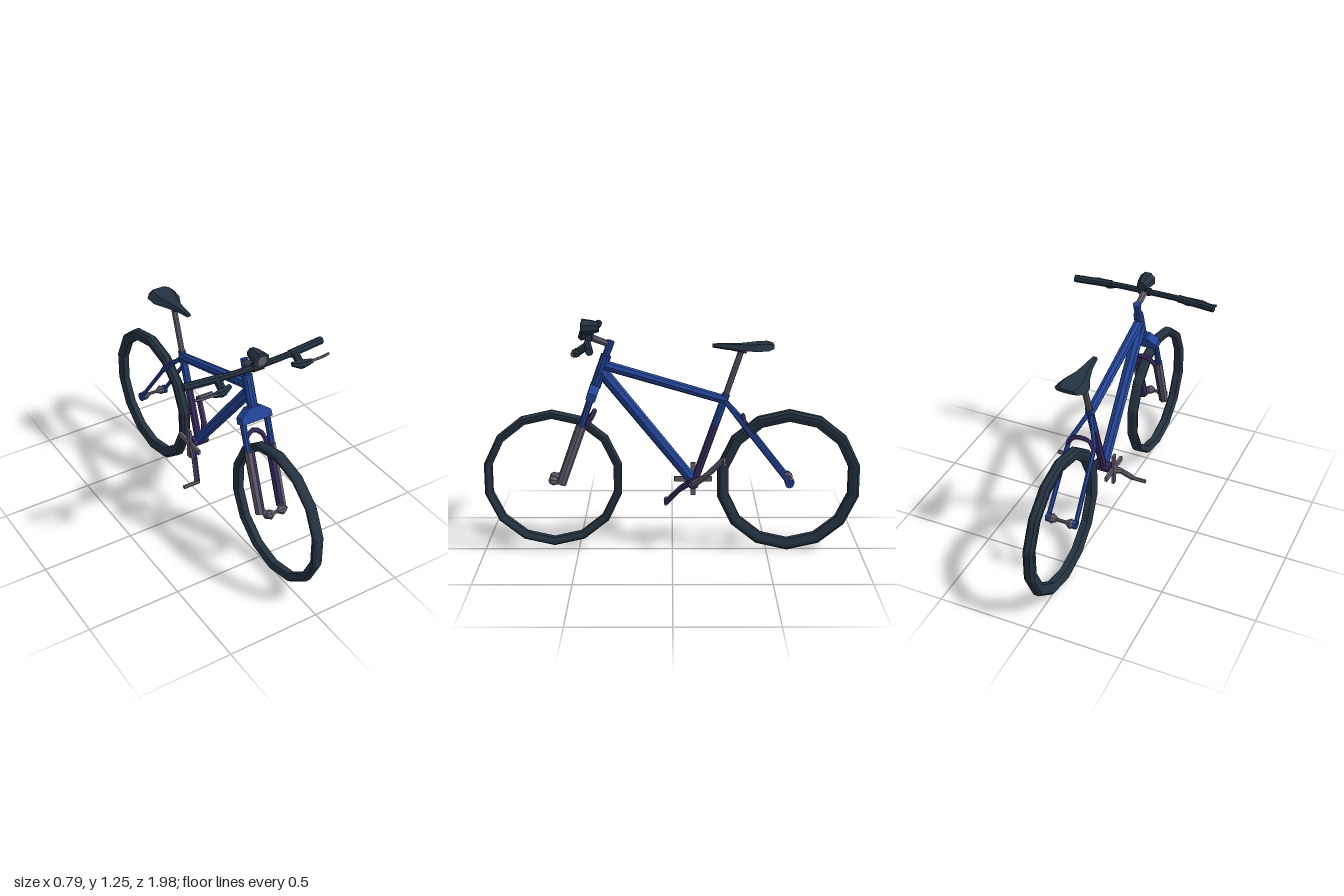
import * as THREE from 'three';

const blue = new THREE.MeshStandardMaterial({ color: 0x23459a, name: 'frameBlue' });
const dark = new THREE.MeshStandardMaterial({ color: 0x243240, name: 'darkRubber' });
const grey = new THREE.MeshStandardMaterial({ color: 0x645f70, name: 'metalGrey' });
const purple = new THREE.MeshStandardMaterial({ color: 0x3d2d63, name: 'shadedPurple' });

const V = (p) => new THREE.Vector3(...p);

// Faceted mesh added to a parent under a plain name
function add(parent, name, geometry, material) {
  const g = geometry.index ? geometry.toNonIndexed() : geometry;
  g.computeVertexNormals();
  const mesh = new THREE.Mesh(g, material);
  mesh.name = name;
  parent.add(mesh);
  return mesh;
}

// Straight tube between two points; start/length cut it lengthwise
function tube(parent, name, a, b, r0, r1, material, sides = 8, start = 0, length = Math.PI * 2) {
  const dir = V(b).sub(V(a));
  const g = new THREE.CylinderGeometry(r1, r0, dir.length(), sides, 1, false, start, length);
  const mesh = add(parent, name, g, material);
  mesh.position.copy(V(a)).addScaledVector(dir, 0.5);
  mesh.quaternion.setFromUnitVectors(new THREE.Vector3(0, 1, 0), dir.normalize());
  return mesh;
}

// Tube whose outward half is grey and inward half is purple
function twoTone(parent, name, a, b, r0, r1, s) {
  tube(parent, name + 'Outer', a, b, r0, r1, grey, 4, s > 0 ? 0 : Math.PI, Math.PI);
  tube(parent, name + 'Inner', a, b, r0, r1, purple, 4, s > 0 ? Math.PI : 0, Math.PI);
}

function curveTube(parent, name, points, r, material, segments = 8, sides = 6) {
  const curve = new THREE.CatmullRomCurve3(points.map(V));
  return add(parent, name, new THREE.TubeGeometry(curve, segments, r, sides), material);
}

// Lofted solid through equal-length loops, ordered back to front
function loft(loops) {
  const n = loops[0].length, index = [], last = (loops.length - 1) * n;
  for (let i = 0; i < loops.length - 1; i++) {
    for (let j = 0; j < n; j++) {
      const a = i * n + j, b = i * n + (j + 1) % n;
      index.push(a, b, a + n, b, b + n, a + n);
    }
  }
  for (let j = 1; j < n - 1; j++) {
    index.push(0, j + 1, j, last, last + j, last + j + 1);
  }
  const g = new THREE.BufferGeometry();
  g.setAttribute('position', new THREE.Float32BufferAttribute(loops.flat(2), 3));
  g.setIndex(index);
  return g;
}

// Tyre ring with bevelled tread, axle along x
function tyre(parent, name, y, z, outer, inner, w) {
  const mid = (outer + inner) / 2, b = (outer - inner) * 0.22;
  const profile = [
    [inner, -w * 0.6], [mid, -w], [outer - b, -w], [outer, -w * 0.5], [outer, w * 0.5],
    [outer - b, w], [mid, w], [inner, w * 0.6], [inner, -w * 0.6],
  ].map((p) => new THREE.Vector2(...p));
  const g = new THREE.LatheGeometry(profile, 14, Math.PI / 2);
  g.rotateZ(Math.PI / 2);
  add(parent, name, g, dark).position.set(0, y, z);
}

// Slim axle with a bulge at each end
function hub(parent, name, y, z, x, material) {
  tube(parent, name + 'Axle', [-x, y, z], [x, y, z], 0.009, 0.009, material);
  for (const s of [-1, 1]) {
    tube(parent, name + 'Cone', [s * (x - 0.045), y, z], [s * (x - 0.02), y, z], 0.012, 0.027, material);
    tube(parent, name + 'Cap', [s * (x - 0.02), y, z], [s * (x + 0.005), y, z], 0.027, 0.015, material);
  }
}

export function createModel() {
  const bike = new THREE.Group();
  bike.name = 'bicycle';

  // Wheels
  tyre(bike, 'frontTyre', 0.397, 0.629, 0.371, 0.328, 0.028);
  tyre(bike, 'rearTyre', 0.385, -0.612, 0.385, 0.324, 0.028);
  hub(bike, 'frontHub', 0.395, 0.625, 0.055, grey);
  hub(bike, 'rearHub', 0.39, -0.615, 0.07, grey);

  // Main frame
  const frame = new THREE.Group();
  frame.name = 'frame';
  bike.add(frame);
  tube(frame, 'headTube', [0, 0.89, 0.4], [0, 1.06, 0.34], 0.027, 0.027, blue, 10);
  tube(frame, 'steererTop', [0, 1.05, 0.344], [0, 1.105, 0.325], 0.019, 0.019, blue);
  tube(frame, 'topTube', [0, 1.008, 0.355], [0, 0.822, -0.275], 0.027, 0.024, blue);
  tube(frame, 'downTube', [0, 0.975, 0.365], [0, 0.385, -0.108], 0.033, 0.029, blue);
  tube(frame, 'seatTubeTop', [0, 0.855, -0.279], [0, 0.69, -0.222], 0.021, 0.021, blue);
  tube(frame, 'seatTubeBottom', [0, 0.69, -0.222], [0, 0.38, -0.115], 0.021, 0.021, purple);
  tube(frame, 'bottomBracket', [-0.045, 0.378, -0.11], [0.045, 0.378, -0.11], 0.03, 0.03, purple);
  for (const s of [-1, 1]) {
    tube(frame, 'seatStayTop', [s * 0.01, 0.815, -0.275], [s * 0.07, 0.7, -0.37], 0.012, 0.012, blue, 6);
    tube(frame, 'seatStayBottom', [s * 0.07, 0.705, -0.366], [s * 0.075, 0.385, -0.615], 0.012, 0.012, blue, 6);
    tube(frame, 'dropout', [s * 0.065, 0.39, -0.612], [s * 0.083, 0.39, -0.612], 0.024, 0.024, blue);
  }
  curveTube(frame, 'rearBridge', [[-0.07, 0.69, -0.38], [-0.04, 0.73, -0.37], [0.04, 0.73, -0.37], [0.07, 0.69, -0.38]],
    0.011, purple);

  // Suspension fork
  const fork = new THREE.Group();
  fork.name = 'fork';
  bike.add(fork);
  const crownShape = new THREE.Shape([[-0.088, -0.035], [0.088, -0.035], [0.086, 0], [0.036, 0.038],
    [-0.036, 0.038], [-0.086, 0]].map((p) => new THREE.Vector2(...p)));
  const crown = new THREE.ExtrudeGeometry(crownShape, { depth: 0.05, bevelEnabled: false });
  crown.translate(0, 0, -0.025).rotateX(-0.34).translate(0, 0.87, 0.41);
  add(fork, 'forkCrown', crown, blue);
  for (const s of [-1, 1]) {
    tube(fork, 'stanchion', [s * 0.07, 0.87, 0.41], [s * 0.07, 0.68, 0.477], 0.017, 0.017, blue);
    twoTone(fork, 'forkLeg', [s * 0.063, 0.385, 0.582], [s * 0.063, 0.7, 0.47], 0.026, 0.027, s);
    tube(fork, 'forkDropout', [s * 0.05, 0.395, 0.59], [s * 0.05, 0.395, 0.63], 0.015, 0.02, grey, 6);
  }
  curveTube(fork, 'forkArch', [[-0.055, 0.67, 0.47], [-0.048, 0.735, 0.42], [0, 0.765, 0.405],
    [0.048, 0.735, 0.42], [0.055, 0.67, 0.47]], 0.013, purple, 10);

  // Cockpit: stem, bar, grips, brake levers
  const cockpit = new THREE.Group();
  cockpit.name = 'cockpit';
  bike.add(cockpit);
  tube(cockpit, 'stemClamp', [0, 1.09, 0.33], [0, 1.135, 0.315], 0.02, 0.02, blue);
  tube(cockpit, 'stem', [0, 1.115, 0.32], [0, 1.155, 0.425], 0.016, 0.019, grey);
  curveTube(cockpit, 'handlebar', [[-0.37, 1.155, 0.402], [-0.2, 1.155, 0.422], [0, 1.153, 0.428],
    [0.2, 1.155, 0.422], [0.37, 1.155, 0.402]], 0.016, dark, 12, 8);
  tube(cockpit, 'barClamp', [-0.03, 1.153, 0.428], [0.03, 1.153, 0.428], 0.022, 0.022, dark);
  for (const s of [-1, 1]) {
    tube(cockpit, 'grip', [s * 0.19, 1.155, 0.423], [s * 0.392, 1.155, 0.4], 0.02, 0.02, dark);
    tube(cockpit, 'leverClamp', [s * 0.22, 1.15, 0.425], [s * 0.22, 1.115, 0.475], 0.02, 0.02, dark, 6);
    tube(cockpit, 'leverBody', [s * 0.175, 1.125, 0.465], [s * 0.225, 1.115, 0.478], 0.012, 0.024, dark, 6);
    tube(cockpit, 'leverTip', [s * 0.225, 1.115, 0.478], [s * 0.28, 1.122, 0.488], 0.024, 0.012, dark, 6);
    curveTube(cockpit, 'brakeLever', [[s * 0.25, 1.122, 0.49], [s * 0.3, 1.127, 0.492], [s * 0.34, 1.119, 0.482],
      [s * 0.382, 1.126, 0.482]], 0.007, grey, 6, 5);
  }

  // Headlight
  const light = new THREE.Group();
  light.name = 'headlight';
  light.position.set(0, 1.205, 0.42);
  bike.add(light);
  const ring = (name, r0, r1, z0, z1, m) => {
    const g = new THREE.CylinderGeometry(r1, r0, z1 - z0, 8, 1, false, Math.PI / 8);
    add(light, name, g.rotateX(Math.PI / 2).translate(0, 0, (z0 + z1) / 2), m);
  };
  ring('lightBack', 0.026, 0.036, -0.045, -0.01, dark);
  ring('lightHousing', 0.036, 0.044, -0.01, 0.045, dark);
  ring('lightLens', 0.026, 0.026, 0.044, 0.049, grey);
  tube(light, 'lightMount', [0, -0.05, 0], [0, -0.02, 0], 0.018, 0.018, dark, 6);

  // Saddle and seat post; sections are z, half width, top, side, bottom
  const sections = [[-0.52, 0.055, 1.118, 1.102, 1.098], [-0.49, 0.08, 1.125, 1.095, 1.092],
    [-0.43, 0.078, 1.122, 1.09, 1.094], [-0.36, 0.045, 1.118, 1.09, 1.086],
    [-0.28, 0.024, 1.12, 1.1, 1.088], [-0.205, 0.016, 1.118, 1.108, 1.1]];
  add(bike, 'saddle', loft(sections.map(([z, w, t, s, b]) => [[w, s, z], [w * 0.6, t, z], [-w * 0.6, t, z],
    [-w, s, z], [-w * 0.4, b, z], [w * 0.4, b, z]])), dark);
  tube(bike, 'seatPost', [0, 0.83, -0.27], [0, 1.085, -0.355], 0.016, 0.016, grey);
  for (const s of [-1, 1]) {
    tube(bike, 'saddleRail', [s * 0.015, 1.092, -0.3], [s * 0.022, 1.077, -0.38], 0.006, 0.006, purple, 5);
  }

  // Cranks with bare pedals
  const drive = new THREE.Group();
  drive.name = 'drivetrain';
  bike.add(drive);
  const arms = [[[0.035, 0.375, -0.11], [0.07, 0.425, -0.17], [0.096, 0.53, -0.268]],
    [[-0.045, 0.37, -0.11], [-0.07, 0.315, -0.04], [-0.1, 0.228, 0.035]]];
  for (const [a, b, c] of arms) {
    const s = Math.sign(c[0]);
    twoTone(drive, 'crankRoot', a, b, 0.021, 0.016, s);
    twoTone(drive, 'crankTip', b, c, 0.016, 0.016, s);
    tube(drive, 'pedal', [c[0] - s * 0.012, c[1] - 0.005, c[2]], [s * 0.183, c[1] - 0.005, c[2]], 0.011, 0.011, grey, 6);
  }

  // Four-arm spider on the drive side
  for (let i = 0; i < 2; i++) {
    const g = new THREE.BoxGeometry(0.014, i ? 0.18 : 0.028, i ? 0.028 : 0.2);
    add(drive, 'spiderArms', g, grey).position.set(-0.058 - i * 0.002, 0.375, -0.11);
  }
  return bike;
}
